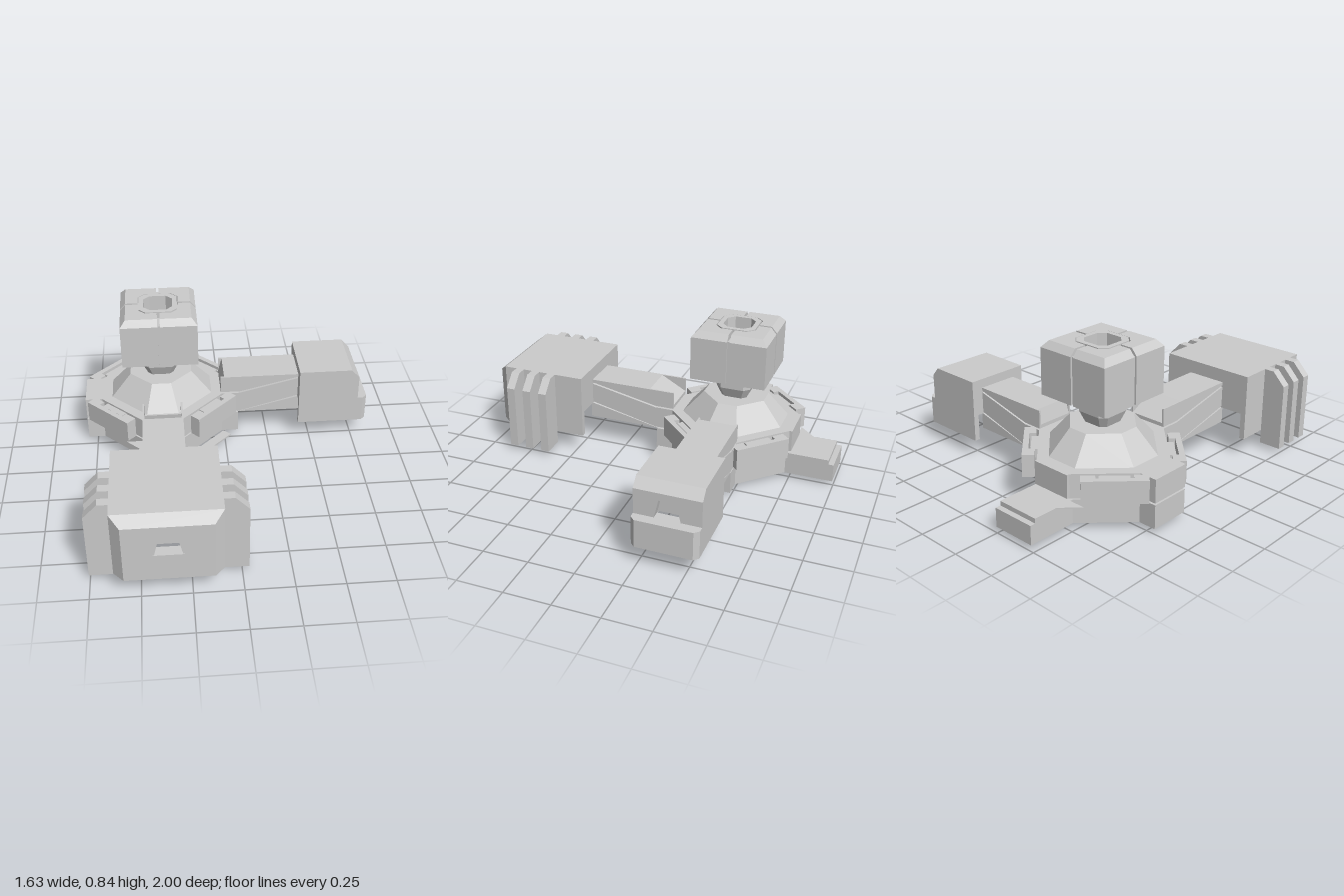
import * as THREE from 'three';

const mat = new THREE.MeshStandardMaterial({ color: 0xcccccc, flatShading: true, side: THREE.DoubleSide });

function add(parent, name, geo, x = 0, y = 0, z = 0) {
  const m = new THREE.Mesh(geo, mat);
  m.name = name;
  m.position.set(x, y, z);
  parent.add(m);
  return m;
}

const shapeOf = (pts) => new THREE.Shape(pts.map(([a, b]) => new THREE.Vector2(a, b)));

// box given by its limits
function block(parent, name, x0, x1, y0, y1, z0, z1) {
  return add(parent, name, new THREE.BoxGeometry(x1 - x0, y1 - y0, z1 - z0),
    (x0 + x1) / 2, (y0 + y1) / 2, (z0 + z1) / 2);
}

// plan outline (x, z) raised from y0 to y1
function slab(pts, y0, y1, hole, steps = 1) {
  const s = shapeOf(pts.map(([x, z]) => [x, -z]));
  if (hole) s.holes.push(shapeOf(hole.map(([x, z]) => [x, -z])));
  return new THREE.ExtrudeGeometry(s, { depth: y1 - y0, bevelEnabled: false, steps })
    .rotateX(-Math.PI / 2).translate(0, y0, 0);
}

// side profile (x, y) spread over a width of 2 * w
function profile(pts, w) {
  return new THREE.ExtrudeGeometry(shapeOf(pts), { depth: 2 * w, bevelEnabled: false }).translate(0, 0, -w);
}

// move every vertex by a rule
function warp(geo, rule) {
  const p = geo.attributes.position, v = new THREE.Vector3();
  for (let i = 0; i < p.count; i++) {
    rule(v.fromBufferAttribute(p, i));
    p.setXYZ(i, v.x, v.y, v.z);
  }
  geo.computeVertexNormals();
  return geo;
}

// octagon with half width r and half length of the straight side c
const octagon = (r, c) => [[r, c], [c, r], [-c, r], [-r, c], [-r, -c], [-c, -r], [c, -r], [r, -c]];

// cross-shaped plan with diagonal sides between four lobes; back lobe length is given
function hubPlan(back) {
  const a = 0.11, d = 0.345, l = 0.44;
  return [[l, -a], [l, a], [d, a], [a, d], [a, l], [-a, l], [-a, d], [-d, a],
    [-l, a], [-l, -a], [-d, -a], [-a, -d], [-a, -back], [a, -back], [a, -d], [d, -a]];
}

function makeHub() {
  const hub = new THREE.Group();
  hub.name = 'hub';
  add(hub, 'hubBase', slab(hubPlan(0.44), 0.028, 0.155));
  add(hub, 'hubSeam', slab(octagon(0.34, 0.1), 0.15, 0.17));
  add(hub, 'hubUpperLayer', slab(hubPlan(0.36), 0.165, 0.29));
  add(hub, 'hubSlopedDeck', warp(slab(octagon(0.29, 0.09), 0.285, 0.42), (v) => {
    if (v.y > 0.4) { v.x *= 0.6; v.z *= 0.6; }
  }));
  add(hub, 'bottomBossRing', slab(octagon(0.085, 0.035), 0.015, 0.03));
  add(hub, 'bottomBoss', slab(octagon(0.065, 0.025), 0, 0.02));

  // hooked armour panels on the diagonals, set slightly toward the x axis
  for (const sx of [-1, 1]) {
    for (const sz of [-1, 1]) {
      const panel = new THREE.Group();
      panel.name = 'diagonalPanel';
      panel.rotation.y = Math.atan2(-sz, sx);
      const shift = -sx * sz * 0.045;
      const at = (pts) => pts.map(([x, z]) => [x, z + shift]);
      add(panel, 'panelPlate', slab(at([[0.335, -0.16], [0.398, -0.16], [0.398, 0.16], [0.335, 0.16],
        [0.335, 0.09], [0.368, 0.09], [0.368, -0.09], [0.335, -0.09]]), 0.17, 0.29));
      block(panel, 'panelTab', 0.3, 0.358, 0.165, 0.28, shift - 0.075, shift + 0.075);
      if (sx > 0 && sz > 0) block(panel, 'lowerStrip', 0.335, 0.39, 0.022, 0.032, -0.165, 0.165);
      hub.add(panel);
    }
  }
  // thin pointed flaps beside the front and rear lobes
  for (const s of [-1, 1]) {
    add(hub, 'pointedFlap', slab([[-0.1, s * 0.46], [-0.1, s * 0.35], [-0.21, s * 0.35]], 0.148, 0.155));
  }

  // short rear arm
  block(hub, 'rearArm', -0.12, 0.12, 0.028, 0.155, -0.575, -0.3);
  block(hub, 'rearArmEnd', -0.12, 0.12, 0.028, 0.13, -0.605, -0.575);
  return hub;
}

function makeTower() {
  const tower = new THREE.Group();
  tower.name = 'tower';
  add(tower, 'neck', slab(octagon(0.098, 0.065), 0.48, 0.565));
  add(tower, 'neckFoot', warp(slab(octagon(0.098, 0.065), 0.41, 0.48), (v) => {
    if (v.y < 0.42) { v.x *= 0.7; v.z *= 0.7; }
  }));
  const r = 0.2;
  add(tower, 'cubeCore', slab([[r, r], [-r, r], [-r, -r], [r, -r]], 0.565, 0.805, octagon(0.08, 0.045)));
  block(tower, 'cubeFloor', -0.19, 0.19, 0.562, 0.66, -0.19, 0.19);
  add(tower, 'topRing', slab(octagon(0.106, 0.07), 0.79, 0.842, octagon(0.08, 0.045)));
  // four corner shells with grooves between them
  const g = 0.007;
  for (let i = 0; i < 4; i++) {
    const geo = slab([[g, 0.112], [0.073, 0.112], [0.112, 0.073], [0.112, g], [0.21, g], [0.21, 0.21], [g, 0.21]],
      0.56, 0.84, null, 2);
    warp(geo, (v) => {
      if (v.y > 0.69 && v.y < 0.71) v.y = 0.805;
      if (v.y > 0.83) { v.x = Math.min(v.x, 0.18); v.z = Math.min(v.z, 0.18); }
    });
    add(tower, 'cubeCorner', geo).rotation.y = i * Math.PI / 2;
  }
  return tower;
}

// split arm running along +x from the hub to distance L; its top rises over the given ramp length
function makeArm(name, L, ramp) {
  const arm = new THREE.Group();
  arm.name = name;
  add(arm, 'armUpper', profile([[0.34, 0.3], [0.45, 0.3], [L, 0.385], [L, 0.4], [0.34 + ramp, 0.4], [0.34, 0.32]], 0.1));
  for (const s of [-1, 1]) {
    add(arm, 'armCheek', profile([[0.34, 0.3], [0.45, 0.3], [L, 0.385], [L, 0.4], [0.34, 0.4]], 0.005), 0, 0, s * 0.105);
  }
  add(arm, 'armStrut', profile([[0.3, 0.165], [0.45, 0.165], [L, 0.26], [L, 0.375], [0.45, 0.29], [0.3, 0.29]], 0.11));
  add(arm, 'armLower', profile([[0.44, 0.16], [L, 0.16], [L, 0.25]], 0.11));
  return arm;
}

// hollow head at the arm end, open below, with a window in its front wall
function addHead(arm, u0, u1, w, top, shoulder, bevel, chamfer) {
  const y0 = 0.105, t = 0.03, ub = u1 - bevel;
  const taper = (geo) => warp(geo, (v) => {
    if (v.x > u1 - 0.001 && Math.abs(v.z) > w - 0.001) v.z = Math.sign(v.z) * (w - chamfer);
  });
  for (const s of [-1, 1]) {
    const a = s * w, b = s * (w - t);
    block(arm, 'headSide', u0, ub, y0, shoulder, Math.min(a, b), Math.max(a, b));
  }
  block(arm, 'headBack', u0, u0 + t, 0.25, shoulder, -w, w);
  block(arm, 'headRoof', u0, ub, shoulder, top, -w, w);
  add(arm, 'headBevel', taper(profile([[ub, shoulder], [u1, shoulder], [ub, top]], w)));
  const wall = shapeOf([[-w, y0], [w, y0], [w, shoulder], [-w, shoulder]]);
  wall.holes.push(shapeOf([[-0.068, 0.26], [0.068, 0.26], [0.045, 0.36], [-0.045, 0.36]]));
  add(arm, 'headFront', taper(new THREE.ExtrudeGeometry(wall, { depth: bevel, bevelEnabled: false })
    .rotateY(Math.PI / 2).translate(ub, 0, 0)));
  block(arm, 'windowRecess', ub - 0.05, ub - 0.03, 0.25, 0.37, -0.08, 0.08);
  block(arm, 'windowSill', u1 - 0.04, u1 + 0.004, 0.205, 0.26, -0.075, 0.075);
  // sloped inner ramp
  add(arm, 'headRamp', profile([[u0, 0.25], [ub, 0.34], [ub, 0.37], [u0, 0.28]], w - t));
}

export function createModel() {
  const model = new THREE.Group();
  model.name = 'machine';
  const core = new THREE.Group();
  core.name = 'assembly';
  core.position.set(-0.36, 0, -0.39);
  model.add(core);
  core.add(makeHub(), makeTower());

  // left arm with compact head and lower lip
  const sideArm = makeArm('sideArm', 0.8, 0.02);
  addHead(sideArm, 0.79, 1.135, 0.175, 0.45, 0.4, 0.045, 0);
  add(sideArm, 'headLip', slab([[1.13, -0.175], [1.165, -0.175], [1.19, -0.15], [1.19, 0.15], [1.165, 0.175], [1.13, 0.175]],
    0.105, 0.26));
  core.add(sideArm);

  // front arm with wide finned head
  const frontArm = makeArm('frontArm', 0.855, 0.145);
  frontArm.rotation.y = -Math.PI / 2;
  addHead(frontArm, 0.845, 1.386, 0.27, 0.473, 0.43, 0.055, 0.05);
  for (const s of [-1, 1]) {
    for (const u of [1.035, 1.135, 1.235]) {
      const fin = profile([[0.25, 0.105], [0.27, 0.105], [0.27, 0.03], [0.395, 0.03], [0.395, 0.4], [0.325, 0.473], [0.25, 0.473]]
        .map(([a, b]) => [s * a, b]), 0.024).rotateY(-Math.PI / 2);
      add(frontArm, 'headFin', fin, u, 0, 0);
    }
  }
  core.add(frontArm);
  return model;
}
